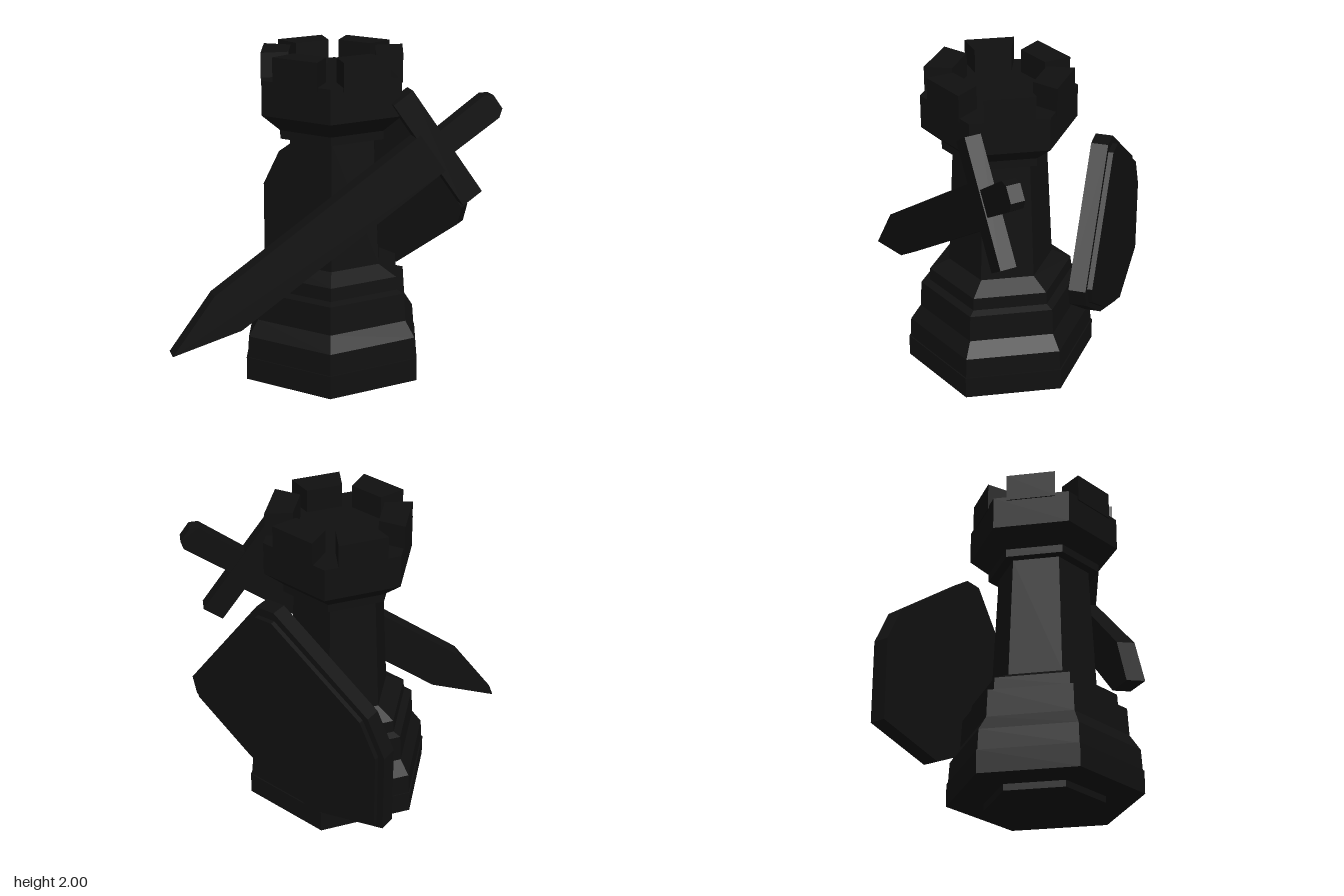
import * as THREE from 'three';

const dark = new THREE.MeshStandardMaterial({ color: 0x101010, flatShading: true });

function add(parent, name, geometry) {
  const mesh = new THREE.Mesh(geometry, dark);
  mesh.name = name;
  parent.add(mesh);
  return mesh;
}

// Flat plate from an outline, centred on its own thickness
function plate(points, depth) {
  const shape = new THREE.Shape(points.map(([x, y]) => new THREE.Vector2(x, y)));
  const g = new THREE.ExtrudeGeometry(shape, { depth, bevelEnabled: false });
  return g.translate(0, 0, -depth / 2);
}

function createTower() {
  const tower = new THREE.Group();
  tower.name = 'tower';
  tower.position.set(-0.04, 0, 0.115);

  // Six-sided body: [corner radius, height]
  const profile = [
    [0, 0], [0.36, 0], [0.36, 0.04], [0.587, 0.04], [0.587, 0.18], [0.578, 0.18],
    [0.57, 0.31], [0.507, 0.405], [0.497, 0.575], [0.445, 0.59], [0.44, 0.67],
    [0.32, 0.73], [0.282, 1.5], [0.346, 1.5], [0.346, 1.55], [0.464, 1.65],
    [0.464, 1.855], [0, 1.855],
  ].map(([r, y]) => new THREE.Vector2(r, y));
  add(tower, 'body', new THREE.LatheGeometry(profile, 6));

  // One battlement block per side of the head
  for (let i = 0; i < 6; i++) {
    const block = plate([[0.25, -0.11], [0.41, -0.15], [0.41, 0.15], [0.25, 0.11]], 0.17);
    block.rotateX(-Math.PI / 2).translate(0, 1.915, 0).rotateY(i * Math.PI / 3);
    add(tower, 'battlement', block);
  }
  return tower;
}

function createSword() {
  const sword = new THREE.Group();
  sword.name = 'sword';
  sword.position.set(0, 0, 0.465);
  sword.rotation.y = THREE.MathUtils.degToRad(18);

  // Laid out from the tip along x, then tilted upward
  const tilted = new THREE.Group();
  tilted.name = 'swordParts';
  tilted.position.set(-1.0, 0.345, 0);
  tilted.rotation.z = THREE.MathUtils.degToRad(34.8);
  sword.add(tilted);

  add(tilted, 'blade', plate([[0, 0], [0.4, -0.137], [1.9, -0.137], [1.9, 0.137], [0.4, 0.137]], 0.1));
  add(tilted, 'guard', new THREE.BoxGeometry(0.14, 0.77, 0.1).translate(1.94, 0, 0));
  add(tilted, 'grip', plate([
    [1.98, -0.08], [2.34, -0.085], [2.385, -0.05], [2.385, 0.05], [2.34, 0.085], [1.98, 0.08],
  ], 0.085));
  return sword;
}

function createShield() {
  const shield = new THREE.Group();
  shield.name = 'shield';
  shield.position.set(0.14, 0, -0.49);
  shield.rotation.y = THREE.MathUtils.degToRad(-24.3);

  const outline = [
    [-0.49, 0.425], [-0.04, 0.32], [0.38, 0.54], [0.745, 0.84], [0.77, 0.95],
    [0.31, 1.64], [0.2, 1.64], [-0.385, 1.17], [-0.49, 0.94],
  ].map(([x, y]) => [(x - 0.14) / 0.91, y]);
  add(shield, 'shieldBoard', plate(outline, 0.1));

  // Raised face on the outer side
  const inner = outline.map(([x, y]) => [x * 0.94, 0.9 + (y - 0.9) * 0.93]);
  add(shield, 'shieldFace', plate(inner, 0.05)).position.z = -0.055;
  return shield;
}

export function createModel() {
  const model = new THREE.Group();
  model.name = 'armedTower';
  model.add(createTower(), createSword(), createShield());
  return model;
}
